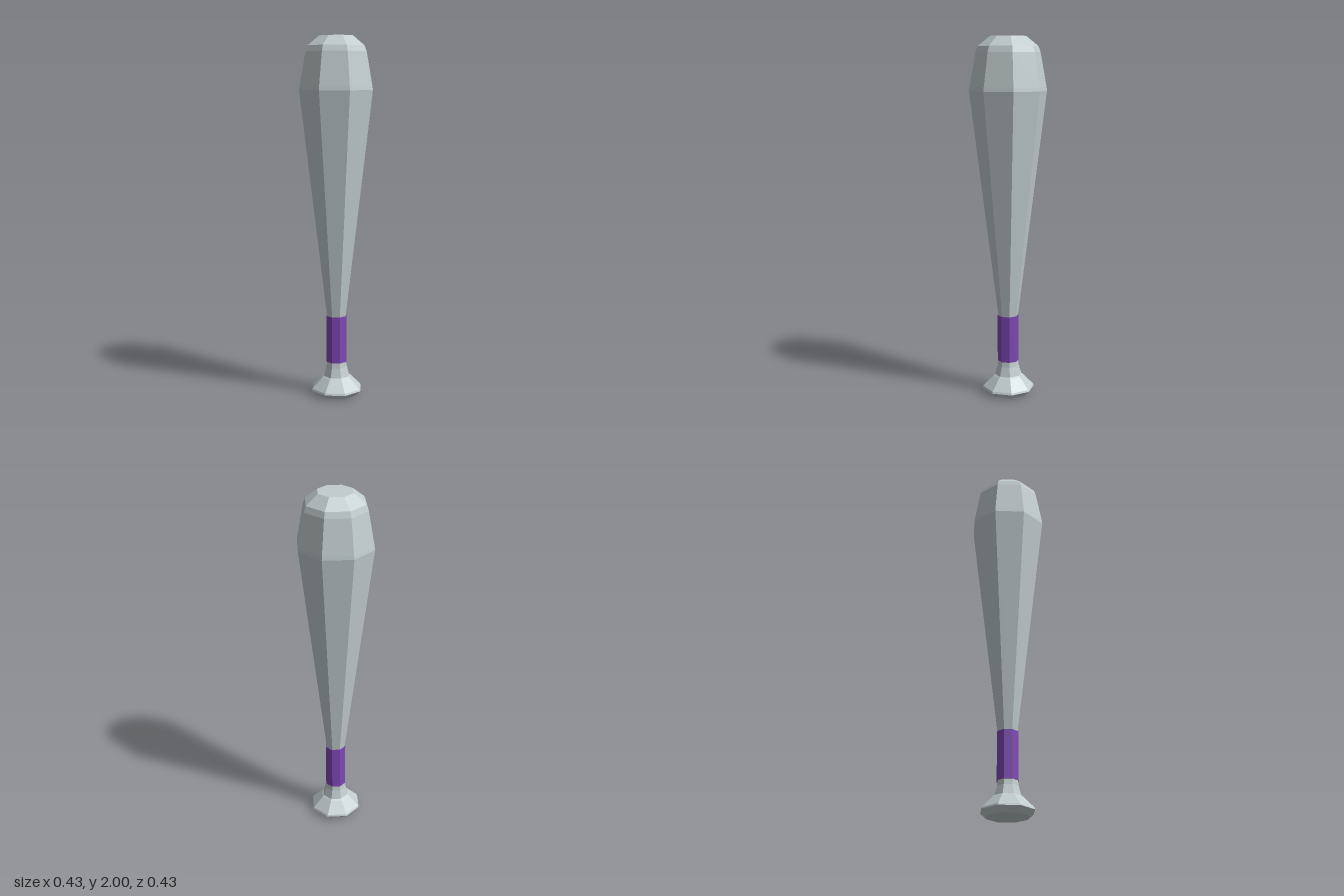
import * as THREE from 'three';

const SIDES = 8;

// Faceted solid of revolution from [radius, height] pairs, listed bottom to top
function facetedLathe(name, profile, material) {
  const points = profile.map(([r, y]) => new THREE.Vector2(r, y));
  const geometry = new THREE.LatheGeometry(points, SIDES).toNonIndexed();
  geometry.computeVertexNormals(); // one normal per facet
  const mesh = new THREE.Mesh(geometry, material);
  mesh.name = name;
  return mesh;
}

export function createModel() {
  const metal = new THREE.MeshStandardMaterial({ color: 0xc2cdce });
  metal.name = 'pale grey metal';
  const wrap = new THREE.MeshStandardMaterial({ color: 0x7e48b6 });
  wrap.name = 'purple wrap';

  const bat = new THREE.Group();
  bat.name = 'bat';

  // Flared knob and the short neck above it
  bat.add(facetedLathe('knob', [
    [0, 0], [0.115, 0], [0.148, 0.03], [0.144, 0.04],
    [0.085, 0.1], [0.075, 0.108], [0.06, 0.16], [0.056, 0.19],
  ], metal));

  // Wrapped handle, slightly proud of the neck
  bat.add(facetedLathe('grip', [
    [0.045, 0.19], [0.06, 0.19], [0.06, 0.455], [0.045, 0.455],
  ], wrap));

  // Tapered barrel with a narrow bevel at each change of slope
  bat.add(facetedLathe('barrel', [
    [0.056, 0.455], [0.211, 1.695], [0.213, 1.71], [0.21, 1.73],
    [0.176, 1.915], [0.164, 1.947], [0.098, 2], [0, 2],
  ], metal));

  return bat;
}
